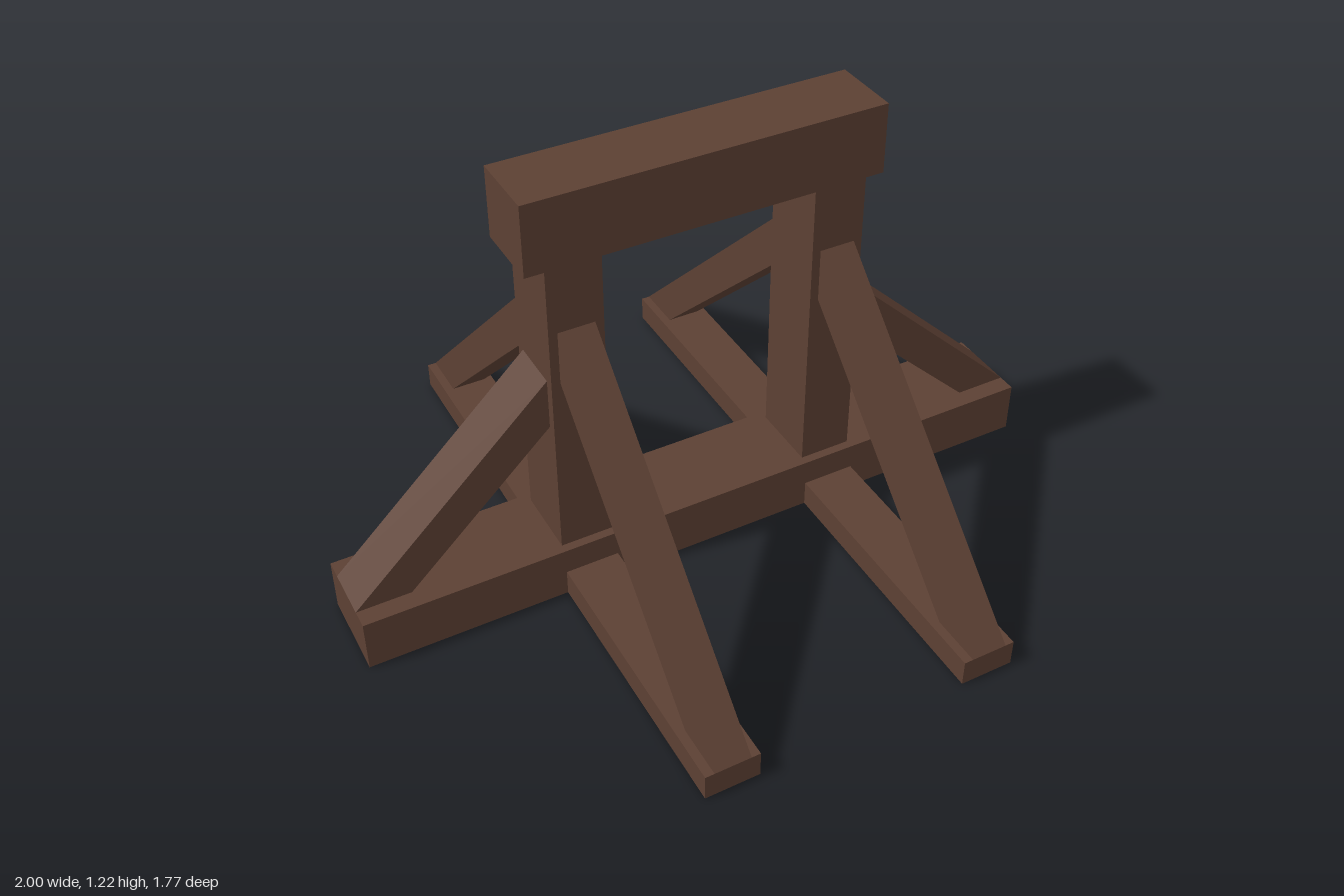
import * as THREE from 'three';

const wood = new THREE.MeshStandardMaterial({ color: 0x5c4033, side: THREE.DoubleSide });
wood.name = 'dark brown wood';

export function createModel() {
  const model = new THREE.Group();
  model.name = 'timberFrame';

  // Box given by its minimum and maximum corners, optionally open underneath
  function beam(name, min, max, openBottom = false) {
    const size = max.map((v, i) => v - min[i]);
    const geo = new THREE.BoxGeometry(...size);
    if (openBottom) {
      const index = Array.from(geo.index.array);
      index.splice(18, 6);
      geo.clearGroups();
      geo.setIndex(index);
    }
    const mesh = new THREE.Mesh(geo, wood);
    mesh.name = name;
    mesh.position.set(...max.map((v, i) => (v + min[i]) / 2));
    model.add(mesh);
  }

  // Slanted strut cut level at its foot and upright at its head;
  // outline lies in (distance from centre, height), angle turns it about y
  function brace(name, outline, width, angle, x = 0) {
    const shape = new THREE.Shape(outline.map(([r, y]) => new THREE.Vector2(r, y)));
    const geo = new THREE.ExtrudeGeometry(shape, { depth: width, bevelEnabled: false });
    geo.translate(0, 0, -width / 2);
    geo.rotateY(angle);
    const mesh = new THREE.Mesh(geo, wood);
    mesh.name = name;
    mesh.position.x = x;
    model.add(mesh);
  }

  // Long ground beam and top beam
  beam('baseBeam', [-1, 0, -0.125], [1, 0.15, 0.125], true);
  beam('topBeam', [-0.495, 1.02, -0.1], [0.493, 1.217, 0.1]);

  const sideOutline = [[1, 0.15], [0.44, 0.685], [0.44, 0.54], [0.85, 0.15]];
  const footOutline = [[0.885, 0.075], [0.1, 0.837], [0.1, 0.685], [0.74, 0.075]];

  for (const [side, x, s] of [['left', 0.367, 1], ['right', -0.37, -1]]) {
    // Upright post, cross foot and the braces on each side
    beam(side + 'Post', [x - 0.074, 0.15, -0.1], [x + 0.074, 1.02, 0.1]);
    beam(side + 'Foot', [x - 0.075, 0, -0.885], [x + 0.075, 0.075, 0.885], true);
    brace(side + 'SideBrace', sideOutline, 0.145, s > 0 ? 0 : Math.PI);
    brace(side + 'FrontBrace', footOutline, 0.1, -Math.PI / 2, x);
    brace(side + 'BackBrace', footOutline, 0.1, Math.PI / 2, x);
  }
  return model;
}
